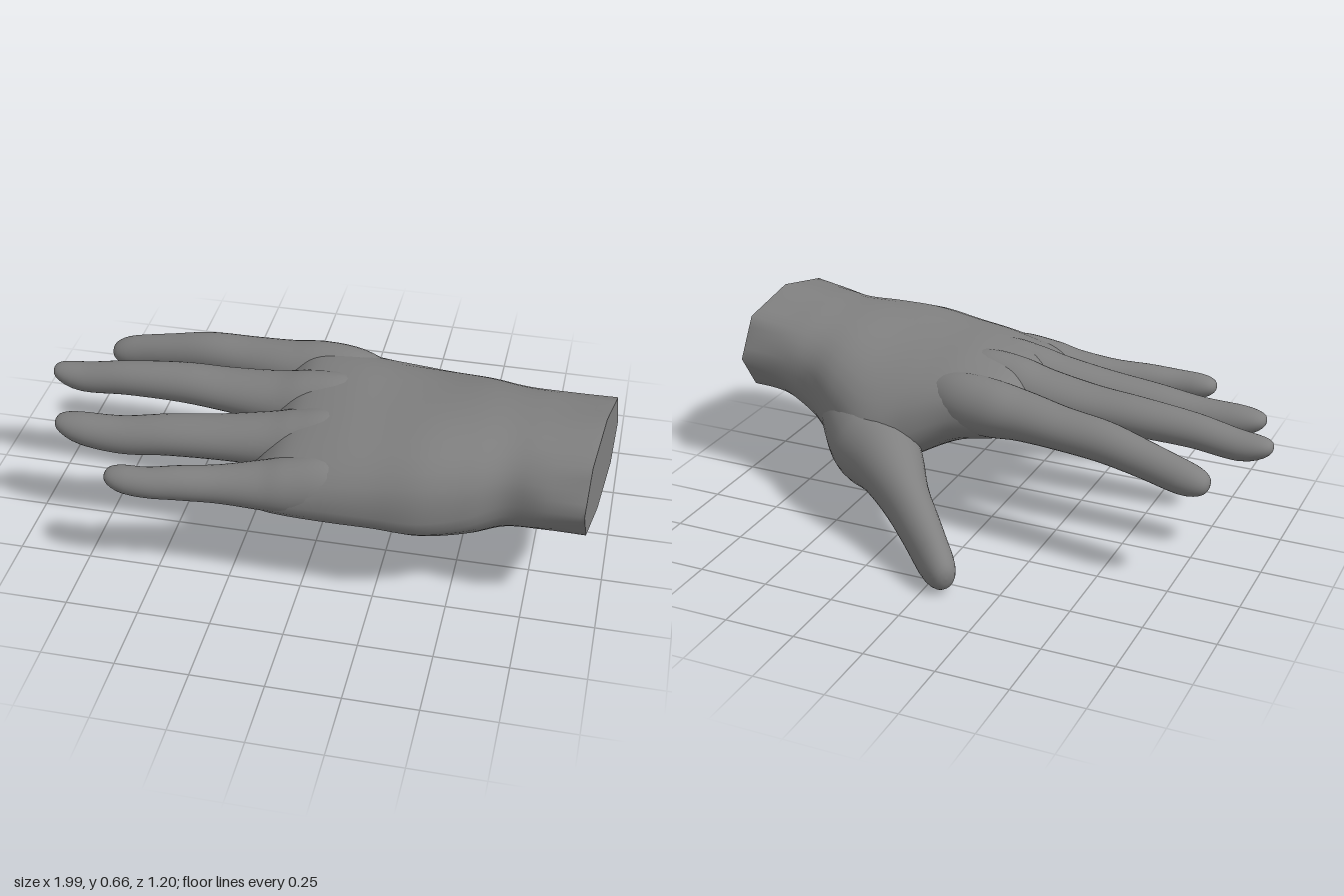
import * as THREE from 'three';

const SIDES = 32;
const STEPS = 7; // rings per section
const Y = new THREE.Vector3(0, 1, 0);
const material = new THREE.MeshStandardMaterial({ color: 0x808080 });

// Catmull-Rom blend of rows of numbers; t counts rows
function blend(rows, t) {
  const i = Math.min(Math.floor(t), rows.length - 2), f = t - i;
  const row = k => rows[Math.max(0, Math.min(rows.length - 1, k))];
  const [a, b, c, d] = [row(i - 1), row(i), row(i + 1), row(i + 2)];
  return b.map((_, k) => {
    const m0 = (c[k] - a[k]) / 2, m1 = (d[k] - b[k]) / 2;
    return b[k] + m0 * f + (3 * (c[k] - b[k]) - 2 * m0 - m1) * f * f
      + (2 * (b[k] - c[k]) + m0 + m1) * f * f * f;
  });
}

// Skin over closed rings, with a centre point closing the last one
function skin(name, rings) {
  const points = rings.flat(), index = [];
  for (let i = 0; i < rings.length - 1; i++) {
    for (let j = 0; j < SIDES; j++) {
      const a = i * SIDES + j, b = i * SIDES + (j + 1) % SIDES;
      index.push(a, b, a + SIDES, b, b + SIDES, a + SIDES);
    }
  }
  const last = rings[rings.length - 1];
  const centre = new THREE.Vector3();
  last.forEach(p => centre.addScaledVector(p, 1 / SIDES));
  const base = (rings.length - 1) * SIDES;
  for (let j = 0; j < SIDES; j++) index.push(base + j, base + (j + 1) % SIDES, points.length);
  points.push(centre);
  const geometry = new THREE.BufferGeometry().setFromPoints(points);
  geometry.setIndex(index);
  geometry.computeVertexNormals();
  const mesh = new THREE.Mesh(geometry, material);
  mesh.name = name;
  return mesh;
}

// Rounded digit along rows of [x, y, z, half width, half height]
function digit(name, rows) {
  const rings = [], end = rows.length - 1, count = end * STEPS;
  const at = t => new THREE.Vector3(...blend(rows, t).slice(0, 3));
  for (let i = 0; i <= count; i++) {
    let t = i / STEPS;
    // ease the last section into a round tip
    const f = Math.max(0, t - end + 1), angle = f * Math.PI / 2;
    if (f > 0) t = end - 1 + Math.sin(angle);
    const scale = Math.max(Math.cos(angle) ** 0.85, 0.03);
    const [x, y, z, w, h] = blend(rows, t);
    const tangent = at(Math.min(end, t + 0.05)).sub(at(Math.max(0, t - 0.05))).normalize();
    const side = new THREE.Vector3().crossVectors(Y, tangent).normalize();
    const up = new THREE.Vector3().crossVectors(tangent, side);
    rings.push(Array.from({ length: SIDES }, (_, j) => {
      const a = j / SIDES * Math.PI * 2;
      return new THREE.Vector3(x, y, z)
        .addScaledVector(side, Math.cos(a) * w * scale)
        .addScaledVector(up, Math.sin(a) * h * scale);
    }));
  }
  return skin(name, rings);
}

// Palm rows: [x, thumb edge z, y, little-finger edge z, y, rise, drop, drop bias to thumb, tilt]
const PALM = [
  [0.96, -0.04, 0.465, 0.535, 0.48, 0.193, 0.168, 0, 0.105],
  [0.82, -0.055, 0.46, 0.52, 0.47, 0.185, 0.17, 0, 0.06],
  [0.68, -0.085, 0.43, 0.495, 0.45, 0.2, 0.2, 0.15, 0.02],
  [0.55, -0.17, 0.36, 0.535, 0.41, 0.25, 0.21, 0.3, 0],
  [0.4, -0.25, 0.3, 0.57, 0.39, 0.275, 0.18, 0.25, 0],
  [0.25, -0.225, 0.37, 0.57, 0.39, 0.23, 0.15, 0.1, 0],
  [0.1, -0.195, 0.44, 0.57, 0.39, 0.185, 0.14, 0, 0],
  [-0.05, -0.195, 0.475, 0.565, 0.385, 0.135, 0.13, 0, 0],
  [-0.13, -0.19, 0.48, 0.555, 0.385, 0.075, 0.115, 0, 0],
  [-0.18, -0.16, 0.465, 0.52, 0.39, 0.01, 0.06, 0, 0],
];

function palmRing(t) {
  const [x, z0, y0, z1, y1, rise, drop, bias, tilt] = blend(PALM, t);
  const ring = Array.from({ length: SIDES }, (_, j) => {
    const a = j / SIDES * Math.PI * 2;
    const c = Math.sign(Math.cos(a)) * Math.abs(Math.cos(a)) ** 0.85;
    const s = Math.sign(Math.sin(a)) * Math.abs(Math.sin(a)) ** 0.85;
    const k = (1 + c) / 2, z = z0 + (z1 - z0) * k;
    const height = s > 0 ? rise : drop * (1 - bias * c);
    return new THREE.Vector3(x - (z - 0.245) * tilt, y0 + (y1 - y0) * k + s * height, z);
  });
  // the wrist flattens to eight sides at its cut
  const facet = Math.max(0, 1 - t / 1.5), span = SIDES / 8;
  return ring.map((p, j) => {
    const corner = j - j % span;
    const flat = ring[corner].clone().lerp(ring[(corner + span) % SIDES], j % span / span);
    return p.clone().lerp(flat, facet);
  });
}

export function createModel() {
  const hand = new THREE.Group();
  hand.name = 'hand';

  // Palm and wrist
  const rings = [];
  for (let i = 0; i <= (PALM.length - 1) * STEPS; i++) rings.push(palmRing(i / STEPS));
  hand.add(skin('palm', rings));

  // Flat cut at the wrist
  hand.add(skin('wristCut', [[...rings[0]].reverse()]));

  // Fingers, each starting at a knuckle sunk into the palm
  hand.add(digit('indexFinger', [
    [0.22, 0.46, -0.06, 0.06, 0.08], [0.08, 0.483, -0.09, 0.095, 0.1],
    [-0.05, 0.485, -0.11, 0.1, 0.1], [-0.17, 0.482, -0.12, 0.095, 0.085],
    [-0.32, 0.475, -0.145, 0.083, 0.073], [-0.48, 0.465, -0.165, 0.073, 0.07],
    [-0.63, 0.437, -0.183, 0.063, 0.063], [-0.77, 0.407, -0.2, 0.057, 0.058],
    [-0.86, 0.395, -0.2, 0.052, 0.047],
  ]));
  hand.add(digit('middleFinger', [
    [0.22, 0.46, 0.11, 0.06, 0.09], [0.08, 0.488, 0.1, 0.1, 0.112],
    [-0.05, 0.487, 0.095, 0.105, 0.108], [-0.17, 0.48, 0.085, 0.103, 0.088],
    [-0.35, 0.475, 0.068, 0.09, 0.072], [-0.52, 0.472, 0.055, 0.077, 0.068],
    [-0.72, 0.46, 0.052, 0.064, 0.06], [-0.89, 0.438, 0.046, 0.056, 0.052],
    [-1, 0.455, 0.04, 0.05, 0.038],
  ]));
  hand.add(digit('ringFinger', [
    [0.22, 0.43, 0.28, 0.06, 0.09], [0.08, 0.46, 0.28, 0.1, 0.12],
    [-0.05, 0.455, 0.285, 0.103, 0.108], [-0.15, 0.448, 0.288, 0.1, 0.09],
    [-0.32, 0.435, 0.295, 0.089, 0.074], [-0.5, 0.42, 0.3, 0.08, 0.068],
    [-0.66, 0.4, 0.307, 0.069, 0.065], [-0.8, 0.405, 0.307, 0.061, 0.056],
    [-0.905, 0.425, 0.3, 0.052, 0.038],
  ]));
  hand.add(digit('littleFinger', [
    [0.22, 0.4, 0.44, 0.05, 0.09], [0.1, 0.415, 0.46, 0.09, 0.112],
    [-0.03, 0.41, 0.478, 0.092, 0.1], [-0.13, 0.403, 0.487, 0.086, 0.082],
    [-0.27, 0.4, 0.508, 0.067, 0.064], [-0.4, 0.4, 0.53, 0.059, 0.058],
    [-0.5, 0.397, 0.546, 0.053, 0.052], [-0.58, 0.4, 0.548, 0.05, 0.047],
    [-0.65, 0.412, 0.543, 0.045, 0.035],
  ]));

  // Thumb with its fleshy base
  hand.add(digit('thumb', [
    [0.62, 0.38, 0.06, 0.08, 0.09], [0.53, 0.34, -0.03, 0.125, 0.135],
    [0.4, 0.285, -0.135, 0.155, 0.16], [0.28, 0.262, -0.245, 0.122, 0.13],
    [0.17, 0.2, -0.345, 0.084, 0.105], [0.07, 0.145, -0.435, 0.07, 0.093],
    [-0.02, 0.088, -0.515, 0.06, 0.086], [-0.095, 0.072, -0.588, 0.055, 0.07],
  ]));
  return hand;
}
